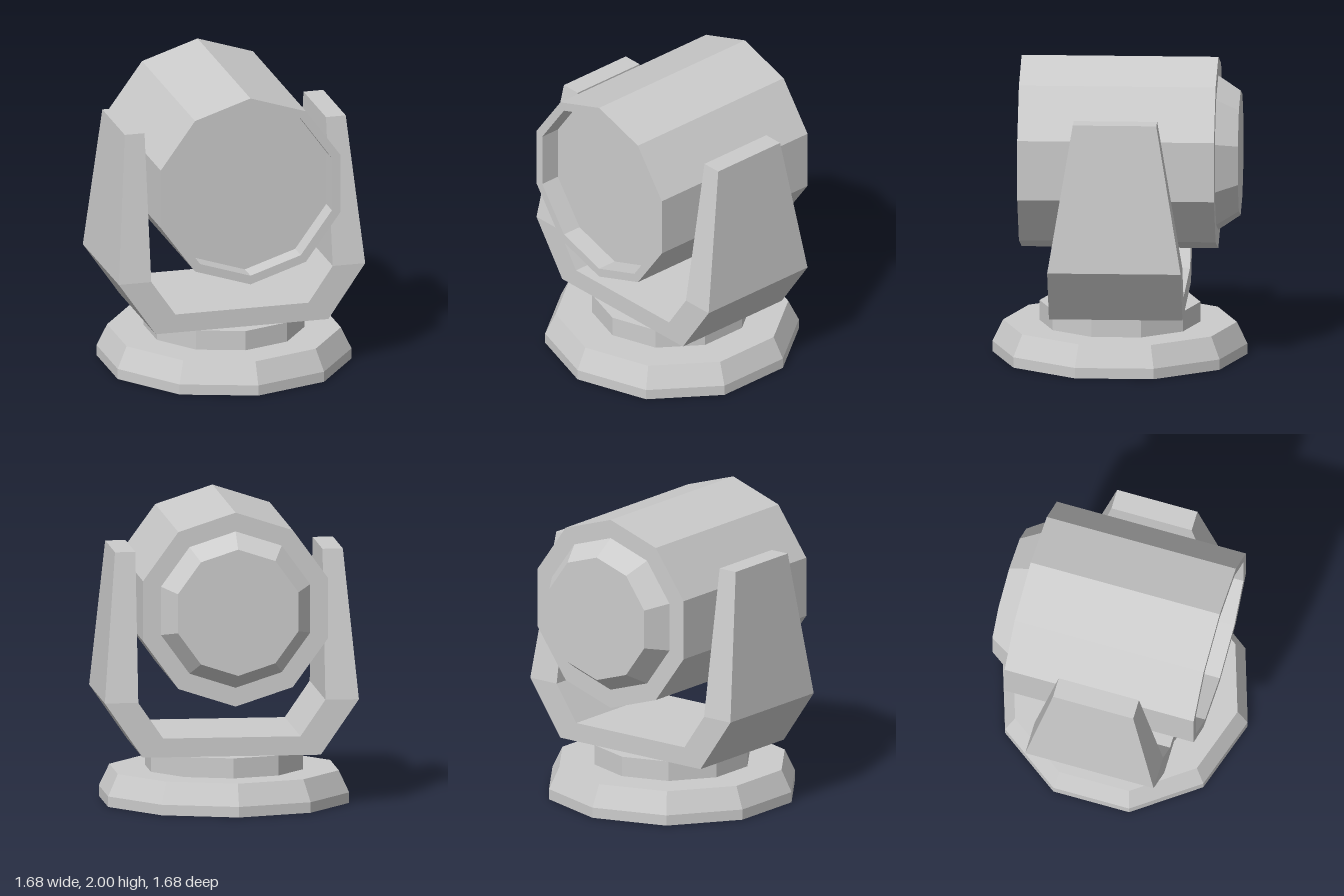
import * as THREE from 'three';

const SIDES = 10;
const material = new THREE.MeshStandardMaterial({ color: 0xcccccc, flatShading: true });

// Ten-sided turned part from [radius, height] pairs
function turned(name, profile) {
  const points = profile.map(([r, h]) => new THREE.Vector2(r, h));
  const mesh = new THREE.Mesh(new THREE.LatheGeometry(points, SIDES), material);
  mesh.name = name;
  return mesh;
}

// Bent bracket lofted through rectangular sections: [outerX, outerY, innerX, innerY, halfDepth]
function yokeGeometry() {
  const half = [
    [0.755, 1.695, 0.62, 1.695, 0.275],
    [0.842, 0.715, 0.62, 0.715, 0.44],
    [0.59, 0.35, 0.455, 0.475, 0.44],
  ];
  const mirrored = half.map(([ox, oy, ix, iy, d]) => [-ox, oy, -ix, iy, d]).reverse();
  const rings = [...half, ...mirrored];
  const positions = [];
  const index = [];
  for (const [ox, oy, ix, iy, d] of rings) {
    positions.push(ox, oy, d, ox, oy, -d, ix, iy, -d, ix, iy, d);
  }
  for (let i = 0; i < rings.length - 1; i++) {
    for (let j = 0; j < 4; j++) {
      const a = i * 4 + j;
      const b = i * 4 + ((j + 1) % 4);
      index.push(a, a + 4, b, b, a + 4, b + 4);
    }
  }
  // End caps on the arm tops
  const e = (rings.length - 1) * 4;
  index.push(0, 1, 2, 0, 2, 3, e, e + 2, e + 1, e, e + 3, e + 2);
  const geometry = new THREE.BufferGeometry();
  geometry.setAttribute('position', new THREE.Float32BufferAttribute(positions, 3));
  geometry.setIndex(index);
  const flat = geometry.toNonIndexed();
  flat.computeVertexNormals();
  return flat;
}

export function createModel() {
  const model = new THREE.Group();
  model.name = 'spotlight';

  // Floor base and swivel collar
  model.add(turned('base', [[0, 0], [0.84, 0], [0.84, 0.07], [0.77, 0.215], [0, 0.215]]));
  model.add(turned('swivelCollar', [[0.53, 0.21], [0.53, 0.348], [0, 0.348]]));

  // U-shaped yoke
  const yoke = new THREE.Mesh(yokeGeometry(), material);
  yoke.name = 'yoke';
  model.add(yoke);

  // Lamp head, its axis turned to face forward
  const head = new THREE.Group();
  head.name = 'lampHead';
  head.add(turned('housing', [[0.52, -0.648], [0.645, -0.648], [0.645, 0.648], [0.585, 0.648], [0.585, 0.51]]));
  head.add(turned('lens', [[0.585, 0.51], [0, 0.51]]));
  head.add(turned('rearCap', [[0, -0.795], [0.42, -0.795], [0.52, -0.648]]));
  head.rotation.x = Math.PI / 2;
  head.position.y = 1.355;
  model.add(head);

  return model;
}
